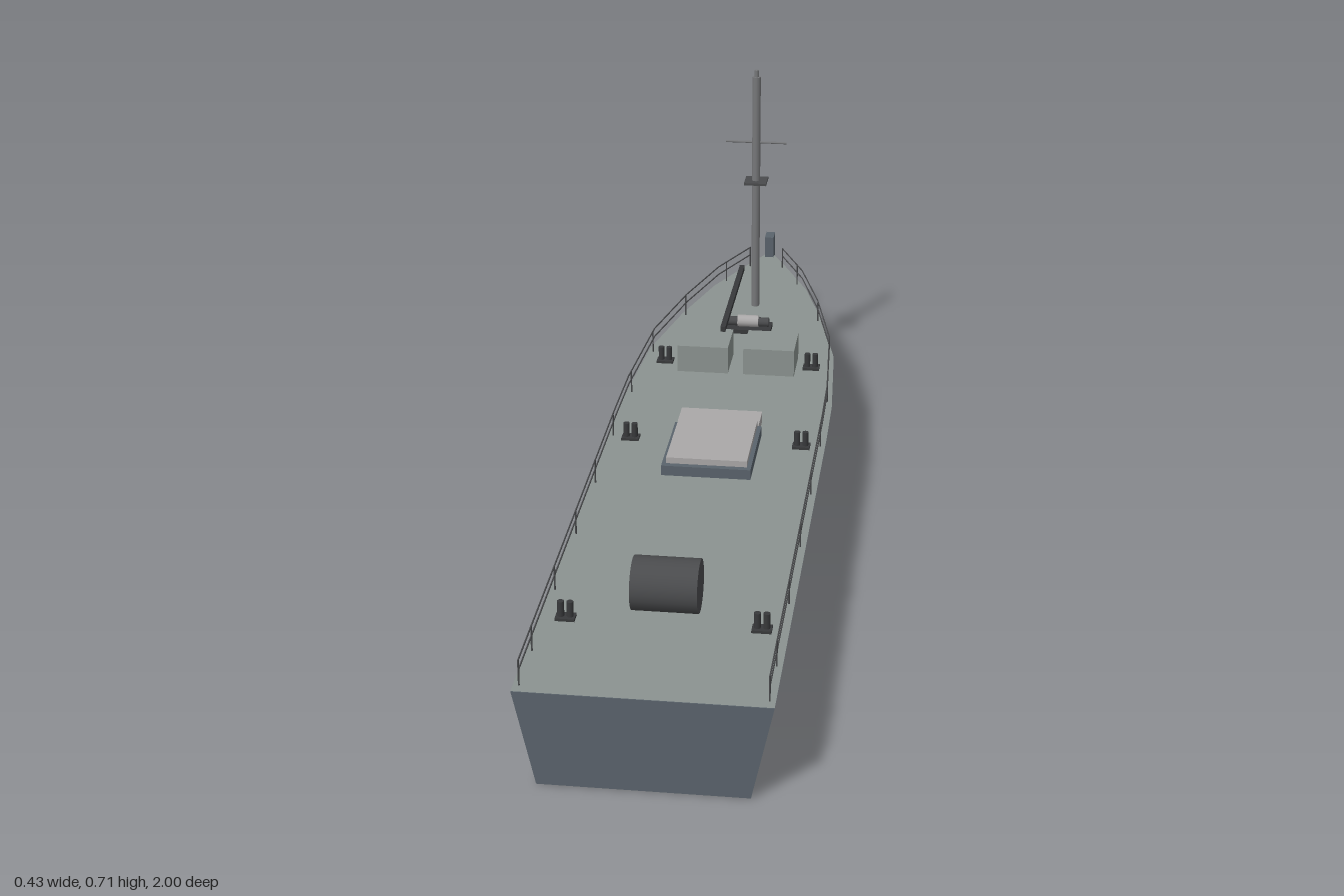
import * as THREE from 'three';

const DECK = 0.171;
const mat = (color) => new THREE.MeshStandardMaterial({ color });
const hullMat = mat(0x5a636c), deckMat = mat(0x8b9390), darkMat = mat(0x4a4b4d);
const blackMat = mat(0x38393b), steelMat = mat(0x77787a), lightMat = mat(0xaaa8a8);

// Half-breadth of the deck edge [z, x], from stern to bow
const OUTLINE = [[1, 0.213], [0, 0.213], [-0.15, 0.211], [-0.4, 0.195], [-0.6, 0.153],
  [-0.77, 0.104], [-0.9, 0.047], [-0.992, 0.004]];

function halfBreadth(z) {
  for (let i = 1; i < OUTLINE.length; i++) {
    const [z0, x0] = OUTLINE[i - 1], [z1, x1] = OUTLINE[i];
    if (z >= z1) return x0 + (x1 - x0) * (z - z0) / (z1 - z0);
  }
  return 0;
}

function add(parent, name, geometry, material, x = 0, y = 0, z = 0) {
  const mesh = new THREE.Mesh(geometry, material);
  mesh.name = name;
  mesh.position.set(x, y, z);
  parent.add(mesh);
  return mesh;
}

// Box given by its ranges on each axis
function box(parent, name, material, [x0, x1], [y0, y1], [z0, z1]) {
  return add(parent, name, new THREE.BoxGeometry(x1 - x0, y1 - y0, z1 - z0), material,
    (x0 + x1) / 2, (y0 + y1) / 2, (z0 + z1) / 2);
}

// Cylinder lying across the ship
function drum(parent, name, material, r, length, x, y, z, sides = 24) {
  return add(parent, name, new THREE.CylinderGeometry(r, r, length, sides).rotateZ(Math.PI / 2), material, x, y, z);
}

// Thin round bar between two points
function bar(parent, name, material, a, b, r) {
  const dir = b.clone().sub(a);
  const mesh = add(parent, name, new THREE.CylinderGeometry(r, r, dir.length(), 6), material);
  mesh.position.copy(a).add(b).multiplyScalar(0.5);
  mesh.quaternion.setFromUnitVectors(new THREE.Vector3(0, 1, 0), dir.normalize());
  return mesh;
}

function buildHull(group) {
  const right = OUTLINE.map(([z, x]) => new THREE.Vector2(x, -z));
  const left = OUTLINE.map(([z, x]) => new THREE.Vector2(-x, -z)).reverse();
  const shape = new THREE.Shape([...right, ...left]);
  const geo = new THREE.ExtrudeGeometry(shape, { depth: DECK, bevelEnabled: false }).rotateX(-Math.PI / 2);
  // Narrow the bottom and rake the stem
  const p = geo.attributes.position;
  for (let i = 0; i < p.count; i++) {
    if (p.getY(i) > DECK / 2) continue;
    const z = p.getZ(i);
    p.setX(i, p.getX(i) * 0.826);
    if (z < -0.4) p.setZ(i, -0.4 + (z + 0.4) * 0.9);
  }
  geo.computeVertexNormals();
  add(group, 'hull', geo, hullMat);
  add(group, 'deck', new THREE.ShapeGeometry(shape).rotateX(-Math.PI / 2), deckMat, 0, DECK + 0.001, 0);
  box(group, 'stemPost', hullMat, [-0.01, 0.01], [0.16, 0.22], [-1, -0.962]);
}

function buildRailing(group, side) {
  const rail = new THREE.Group();
  rail.name = side > 0 ? 'leftRailing' : 'rightRailing';
  group.add(rail);
  const at = (z, y) => new THREE.Vector3(side * (halfBreadth(z) - 0.01), y, z);
  const stops = [0.98, 0, -0.15, -0.4, -0.6, -0.77, -0.9];
  for (const y of [0.2, 0.218])
    for (let i = 1; i < stops.length; i++)
      bar(rail, 'rail', darkMat, at(stops[i - 1], y), at(stops[i], y), 0.0014);
  const posts = [0.98, -0.9];
  for (let i = 0; i < 9; i++) posts.push(0.87 - 0.209 * i);
  for (const z of posts) bar(rail, 'railPost', darkMat, at(z, DECK), at(z, 0.219), 0.0016);
}

function buildBollard(group, x, z) {
  const bollard = new THREE.Group();
  bollard.name = 'bollard';
  bollard.position.set(x, DECK, z);
  group.add(bollard);
  box(bollard, 'bollardBase', blackMat, [-0.017, 0.017], [0, 0.006], [-0.012, 0.012]);
  for (const s of [-1, 1])
    add(bollard, 'bollardPost', new THREE.CylinderGeometry(0.006, 0.006, 0.028, 10), blackMat, s * 0.008, 0.02, 0);
}

function buildMast(group) {
  const mast = new THREE.Group();
  mast.name = 'mast';
  mast.position.z = -0.668;
  group.add(mast);
  add(mast, 'mastPole', new THREE.CylinderGeometry(0.009, 0.009, 0.525, 10), steelMat, 0, DECK + 0.2625, 0);
  add(mast, 'mastLight', new THREE.CylinderGeometry(0.005, 0.005, 0.015, 8), steelMat, 0, 0.703, 0);
  box(mast, 'mastPlatform', darkMat, [-0.024, 0.024], [0.459, 0.464], [-0.024, 0.024]);
  drum(mast, 'yard', steelMat, 0.0025, 0.13, 0, 0.55, 0, 8);
}

function buildWinch(group) {
  const winch = new THREE.Group();
  winch.name = 'winch';
  winch.position.set(0, DECK, -0.528);
  group.add(winch);
  box(winch, 'winchBase', blackMat, [-0.05, 0.05], [0, 0.01], [-0.026, 0.026]);
  drum(winch, 'winchDrum', lightMat, 0.013, 0.045, 0, 0.021, 0, 14);
  for (const s of [-1, 1]) drum(winch, 'winchHead', darkMat, 0.01, 0.022, s * 0.0335, 0.02, 0, 12);
}

export function createModel() {
  const ship = new THREE.Group();
  ship.name = 'ship';
  buildHull(ship);
  for (const side of [-1, 1]) {
    buildRailing(ship, side);
    for (const [x, z] of [[0.167, 0.757], [0.167, 0.043], [0.153, -0.337]]) buildBollard(ship, side * x, z);
    const xs = side > 0 ? [0.016, 0.121] : [-0.121, -0.016];
    box(ship, 'deckLocker', deckMat, xs, [DECK, 0.229], [-0.39, -0.29]);
  }
  buildMast(ship);
  buildWinch(ship);

  // Cargo boom
  box(ship, 'boom', blackMat, [-0.005, 0.005], [0.358, 0.368], [-0.407, -0.072]);

  // Cargo hatch with its covers
  box(ship, 'hatchCoaming', hullMat, [-0.085, 0.085], [DECK, 0.192], [0, 0.197]);
  box(ship, 'hatchCover', lightMat, [-0.077, 0.077], [0.192, 0.204], [0, 0.185]);
  box(ship, 'hatchFrontCover', lightMat, [-0.08, 0.08], [0.174, 0.196], [-0.06, 0]);

  // Cable reel near the stern
  drum(ship, 'sternReel', darkMat, 0.047, 0.115, 0, 0.225, 0.714);
  return ship;
}
